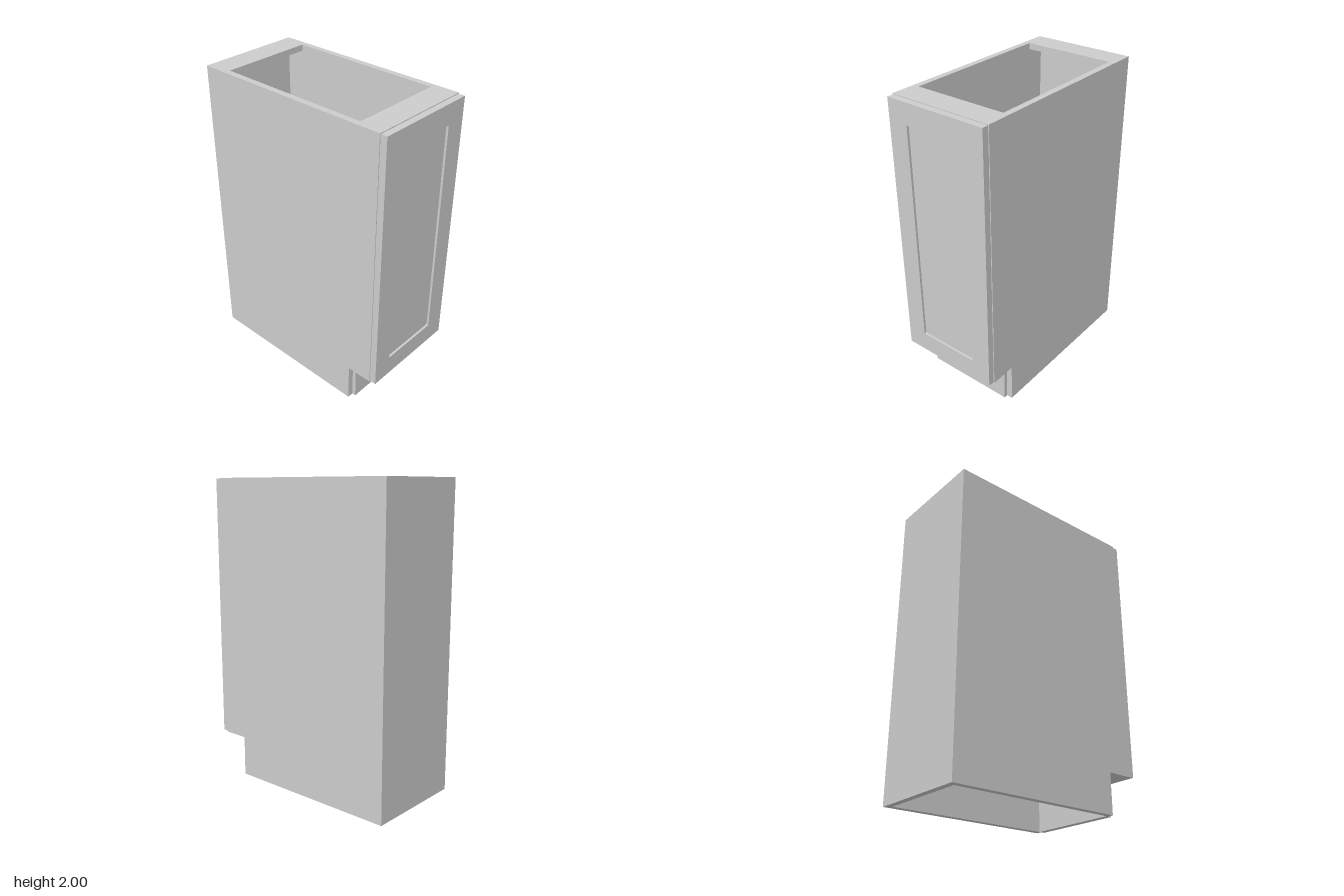
import * as THREE from 'three';

const T = 0.04; // board thickness
const HALF_W = 0.345, BACK = -0.695, FRONT = 0.652, KICK_Y = 0.265;
const INNER = HALF_W - T;

export function createModel() {
  const group = new THREE.Group();
  const material = new THREE.MeshStandardMaterial({ color: 0xcccccc });

  const add = (name, geometry) => {
    const mesh = new THREE.Mesh(geometry, material);
    mesh.name = name;
    group.add(mesh);
    return mesh;
  };
  // Box given by its lower and upper corners
  const board = (name, [x0, y0, z0], [x1, y1, z1]) =>
    add(name, new THREE.BoxGeometry(x1 - x0, y1 - y0, z1 - z0))
      .position.set((x0 + x1) / 2, (y0 + y1) / 2, (z0 + z1) / 2);

  // Side panels, notched at the toe kick; shape x runs toward the back
  const profile = new THREE.Shape([
    [-FRONT, KICK_Y], [-0.48, KICK_Y], [-0.48, 0], [-BACK, 0], [-BACK, 2], [-FRONT, 2],
  ].map(([x, y]) => new THREE.Vector2(x, y)));
  for (const [name, x] of [['leftSide', INNER], ['rightSide', -HALF_W]]) {
    const geometry = new THREE.ExtrudeGeometry(profile, { depth: T, bevelEnabled: false });
    geometry.rotateY(Math.PI / 2);
    add(name, geometry).position.x = x;
  }

  // Boards between the sides; the top stays open between two rails
  board('backPanel', [-INNER, 0, BACK], [INNER, 2 - T, BACK + T]);
  board('cabinetFloor', [-INNER, KICK_Y, BACK + T], [INNER, KICK_Y + T, FRONT]);
  board('backTopRail', [-INNER, 2 - T, BACK], [INNER, 2, -0.53]);
  board('frontTopRail', [-INNER, 2 - T, 0.49], [INNER, 2, FRONT]);
  board('toeKick', [-INNER, 0, 0.465], [INNER, KICK_Y, 0.505]);

  // Door frame with a recessed centre panel
  const rectangle = (PathType, x, y0, y1) => new PathType([
    new THREE.Vector2(-x, y0), new THREE.Vector2(x, y0),
    new THREE.Vector2(x, y1), new THREE.Vector2(-x, y1),
  ]).closePath() && new PathType([
    new THREE.Vector2(-x, y0), new THREE.Vector2(x, y0),
    new THREE.Vector2(x, y1), new THREE.Vector2(-x, y1),
  ]);
  const frame = rectangle(THREE.Shape, 0.34, 0.27, 1.995);
  frame.holes.push(rectangle(THREE.Path, 0.206, 0.403, 1.862));
  add('doorFrame', new THREE.ExtrudeGeometry(frame, { depth: 0.695 - FRONT, bevelEnabled: false }))
    .position.z = FRONT;
  board('doorPanel', [-0.206, 0.403, FRONT], [0.206, 1.862, 0.68]);

  return group;
}
